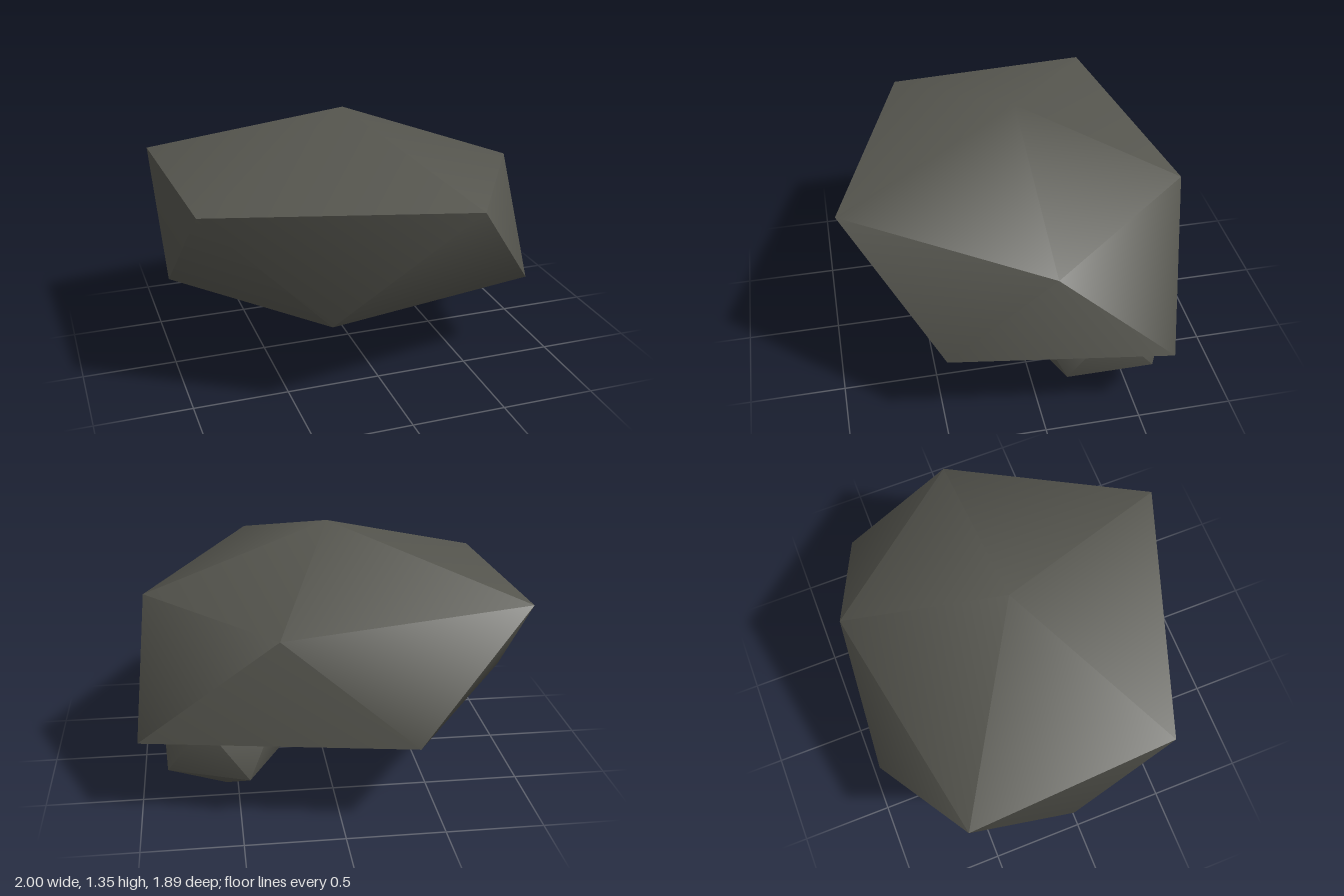
import * as THREE from 'three';
import { toCreasedNormals } from 'three/addons/utils/BufferGeometryUtils.js';

// Rough twenty-sided stone: a top point, two staggered rings of five corners, a bottom point.
// Rings run front -> right -> back -> left; lower corner i sits between upper corners i and i + 1.
function stoneGeometry(top, upper, lower, bottom) {
  const points = [top, ...upper, ...lower, bottom];
  const index = [];
  for (let i = 0; i < 5; i++) {
    const j = (i + 1) % 5;
    const u = 1 + i, un = 1 + j, l = 6 + i, ln = 6 + j;
    index.push(0, u, un, u, l, un, l, ln, un, 11, ln, l);
  }
  const geometry = new THREE.BufferGeometry();
  geometry.setAttribute('position', new THREE.Float32BufferAttribute(points.flat(), 3));
  geometry.setIndex(index);
  return toCreasedNormals(geometry, THREE.MathUtils.degToRad(60));
}

export function createModel() {
  const group = new THREE.Group();
  group.name = 'rocks';

  const stone = new THREE.MeshStandardMaterial({ color: 0x55554e });
  stone.name = 'dark stone';

  const add = (name, ...corners) => {
    const mesh = new THREE.Mesh(stoneGeometry(...corners), stone);
    mesh.name = name;
    group.add(mesh);
  };

  // Large flattened boulder
  add('boulder',
    [-0.02, 1.35, -0.04],
    [[0.37, 1.06, 0.94], [0.96, 0.98, -0.05], [0.30, 1.0, -0.87], [-0.99, 1.04, -0.63], [-0.93, 1.03, 0.50]],
    [[0.86, 0.45, 0.48], [1.0, 0.41, -0.66], [-0.37, 0.44, -0.95], [-1.0, 0.48, -0.05], [-0.33, 0.47, 0.74]],
    [-0.02, 0.21, -0.02]);

  // Small stone half sunk into the underside
  add('smallStone',
    [0.56, 0.72, -0.36],
    [[0.67, 0.52, 0.03], [0.88, 0.52, -0.36], [0.67, 0.52, -0.73], [0.29, 0.52, -0.58], [0.28, 0.52, -0.16]],
    [[0.86, 0.22, -0.14], [0.86, 0.22, -0.60], [0.45, 0.21, -0.74], [0.23, 0.24, -0.36], [0.43, 0.20, 0.03]],
    [0.56, 0, -0.37]);

  return group;
}
